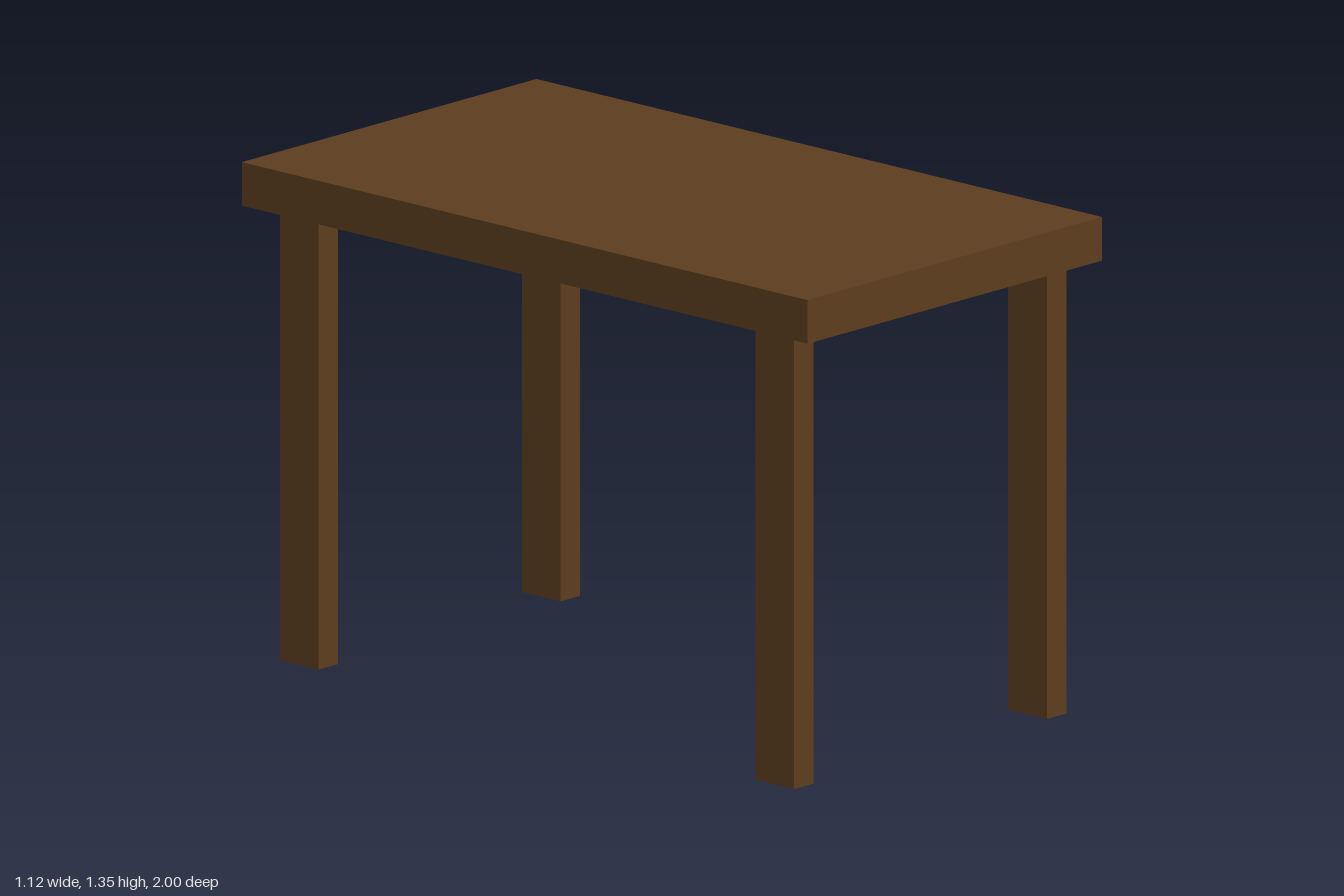
import * as THREE from 'three';

export function createModel() {
  const table = new THREE.Group();
  table.name = 'table';
  const wood = new THREE.MeshStandardMaterial({ color: 0x5c3d1e });

  function addBox(name, [w, h, d], [x, y, z]) {
    const mesh = new THREE.Mesh(new THREE.BoxGeometry(w, h, d), wood);
    mesh.name = name;
    mesh.position.set(x, y + h / 2, z); // y is the underside
    table.add(mesh);
  }

  // Slab top
  addBox('tableTop', [1.12, 0.117, 2], [0, 1.228, 0]);

  // Four equal legs, set slightly unevenly under the top
  const legSize = [0.074, 1.217, 0.137];
  const legs = {
    frontLeftLeg: [0.494, 0, 0.832],
    frontRightLeg: [-0.471, 0.005, 0.836],
    backLeftLeg: [0.46, 0.01, -0.856],
    backRightLeg: [-0.46, 0.01, -0.856],
  };
  for (const [name, foot] of Object.entries(legs)) addBox(name, legSize, foot);

  return table;
}
